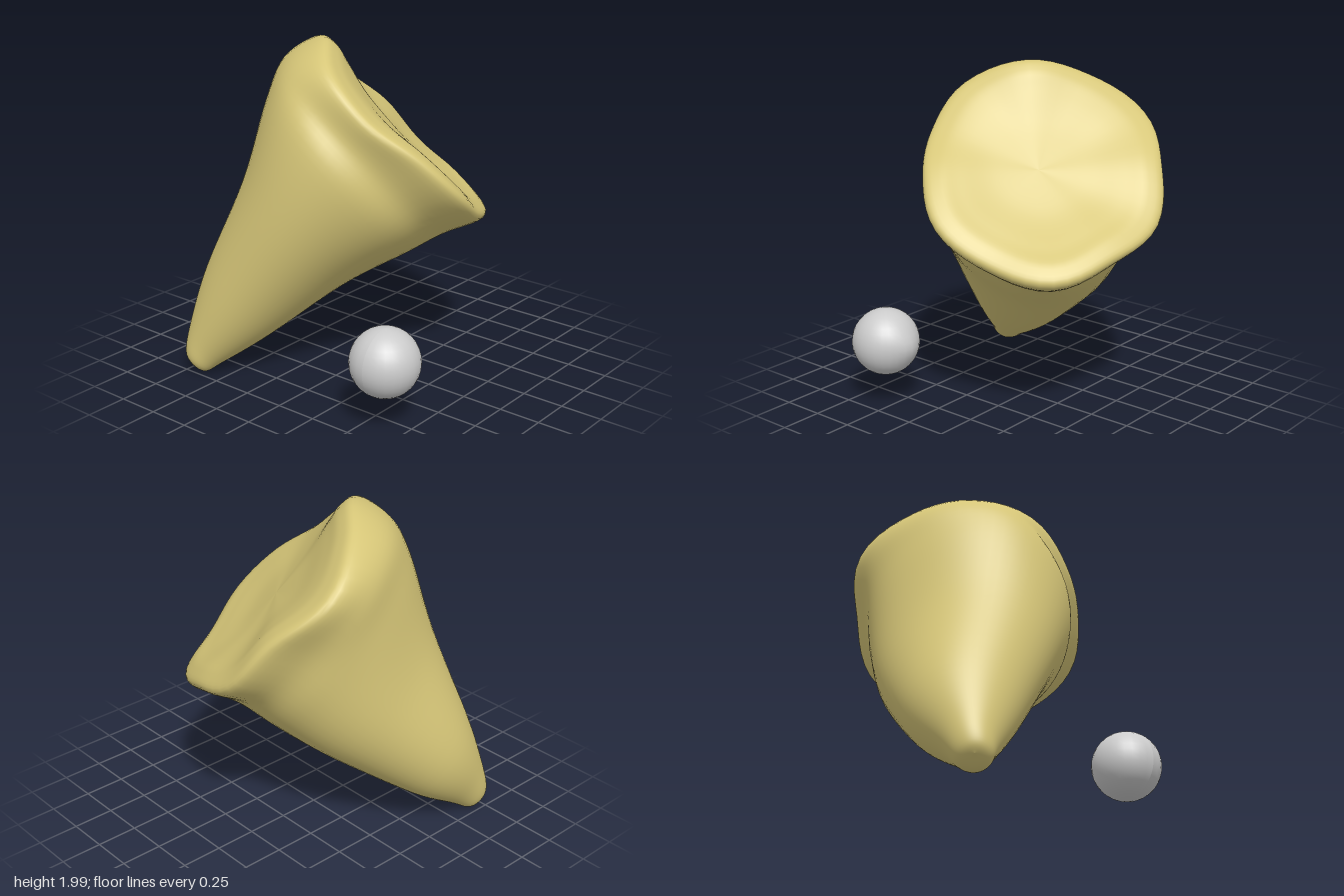
import * as THREE from 'three';

// Plane basis of the broad face: N is its outward normal, U and V span it.
const N = new THREE.Vector3(0.56, 0.65, 0.51).normalize();
const U = new THREE.Vector3(0.674, 0, -0.74).normalize();
const V = new THREE.Vector3().crossVectors(N, U);

// Uneven rim, every 30 degrees from U towards V: radius, and height along N
const RIM_RADIUS = [0.71, 0.78, 0.73, 0.71, 0.72, 0.66, 0.65, 0.7, 0.69, 0.74, 0.695, 0.735];
const RIM_HEIGHT = [-0.03, -0.1, -0.06, -0.01, -0.1, -0.12, -0.05, -0.02, -0.02, 0.02, 0.01, -0.04];
const MEAN_RADIUS = 0.69;

// Cross-sections from tip to face: centre x, y, z, radius along U, radius along V,
// diagonal stretch, share of the rim's uneven radius, share of its uneven height
const onFace = (depth, r, height) =>
  [0.21 + N.x * depth, 1.47 + N.y * depth, 0.13 + N.z * depth, r, r, 0, 1, height];
const SECTIONS = [
  [-0.745, 0.07, -0.72, 0, 0, 0, 0, 0],
  [-0.72, 0.07, -0.7, 0.085, 0.085, 0, 0, 0],
  [-0.655, 0.17, -0.665, 0.15, 0.15, 0, 0, 0],
  [-0.485, 0.42, -0.56, 0.31, 0.28, 0.03, 0, 0],
  [-0.243, 0.835, -0.324, 0.48, 0.445, 0.1, 0, 0],
  [-0.07, 1.175, -0.133, 0.585, 0.615, 0.05, 0.3, 0],
  [0.055, 1.35, -0.03, 0.605, 0.675, 0, 0.8, 0.3],
  onFace(-0.01, MEAN_RADIUS, 1),
  onFace(0.035, 0.6, 0.9),
  onFace(0.01, 0.47, 0.5),
  onFace(-0.03, 0.26, 0.15),
  onFace(-0.04, 0, 0),
];

// Smooth curve through values p(0), p(1), p(2) ...
function smooth(p, t) {
  const i = Math.floor(t), f = t - i;
  const m0 = (p(i + 1) - p(i - 1)) / 2;
  const m1 = (p(i + 2) - p(i)) / 2;
  const f2 = f * f, f3 = f2 * f;
  return (2 * f3 - 3 * f2 + 1) * p(i) + (f3 - 2 * f2 + f) * m0
    + (3 * f2 - 2 * f3) * p(i + 1) + (f3 - f2) * m1;
}
const section = (k, t) =>
  smooth((i) => SECTIONS[THREE.MathUtils.clamp(i, 0, SECTIONS.length - 1)][k], t);
const around = (table, turn) => smooth((i) => table[(i + 12) % 12], turn * 12);

// Tapered body lofted through the sections
function bodyGeometry(sides = 60, steps = 6) {
  const rings = (SECTIONS.length - 1) * steps;
  const pos = [], index = [];
  const point = new THREE.Vector3();
  for (let i = 0; i <= rings; i++) {
    const [x, y, z, a, b, stretch, uneven, height] = SECTIONS[0].map((_, k) => section(k, i / steps));
    for (let j = 0; j < sides; j++) {
      const turn = j / sides, th = turn * Math.PI * 2;
      const swell = 1 - stretch * Math.sin(2 * th) + uneven * (around(RIM_RADIUS, turn) / MEAN_RADIUS - 1);
      point.set(x, y, z)
        .addScaledVector(U, Math.max(a, 0) * swell * Math.cos(th))
        .addScaledVector(V, Math.max(b, 0) * swell * Math.sin(th))
        .addScaledVector(N, height * around(RIM_HEIGHT, turn));
      pos.push(point.x, Math.max(point.y, 0), point.z);
    }
  }
  for (let i = 0; i < rings; i++) {
    for (let j = 0; j < sides; j++) {
      const k = (j + 1) % sides;
      const p = i * sides + j, q = i * sides + k;
      if (i < rings - 1) index.push(p, q + sides, p + sides);
      if (i > 0) index.push(p, q, q + sides);
    }
  }
  // Close the centre of the face
  const last = rings * sides;
  for (let j = 0; j < sides; j++) index.push(last - sides + j, last - sides + ((j + 1) % sides), last);
  const g = new THREE.BufferGeometry();
  g.setAttribute('position', new THREE.Float32BufferAttribute(pos, 3));
  g.setIndex(index);
  g.computeVertexNormals();
  return g;
}

// Ball with a small bump on one side
function ballGeometry() {
  const g = new THREE.SphereGeometry(0.2, 28, 18);
  const p = g.attributes.position;
  const v = new THREE.Vector3();
  for (let i = 0; i < p.count; i++) {
    v.fromBufferAttribute(p, i);
    v.multiplyScalar(1 + Math.max(0, v.x / 0.2) ** 16 * 0.08);
    p.setXYZ(i, v.x, v.y, v.z);
  }
  g.computeVertexNormals();
  return g;
}

export function createModel() {
  const group = new THREE.Group();

  const body = new THREE.Mesh(bodyGeometry(), new THREE.MeshStandardMaterial({ color: 0xd6c678 }));
  body.name = 'taperedBody';
  group.add(body);

  const ball = new THREE.Mesh(ballGeometry(), new THREE.MeshStandardMaterial({ color: 0xcccccc }));
  ball.name = 'ball';
  ball.position.set(-0.56, 0.39, 0.61);
  group.add(ball);

  return group;
}
